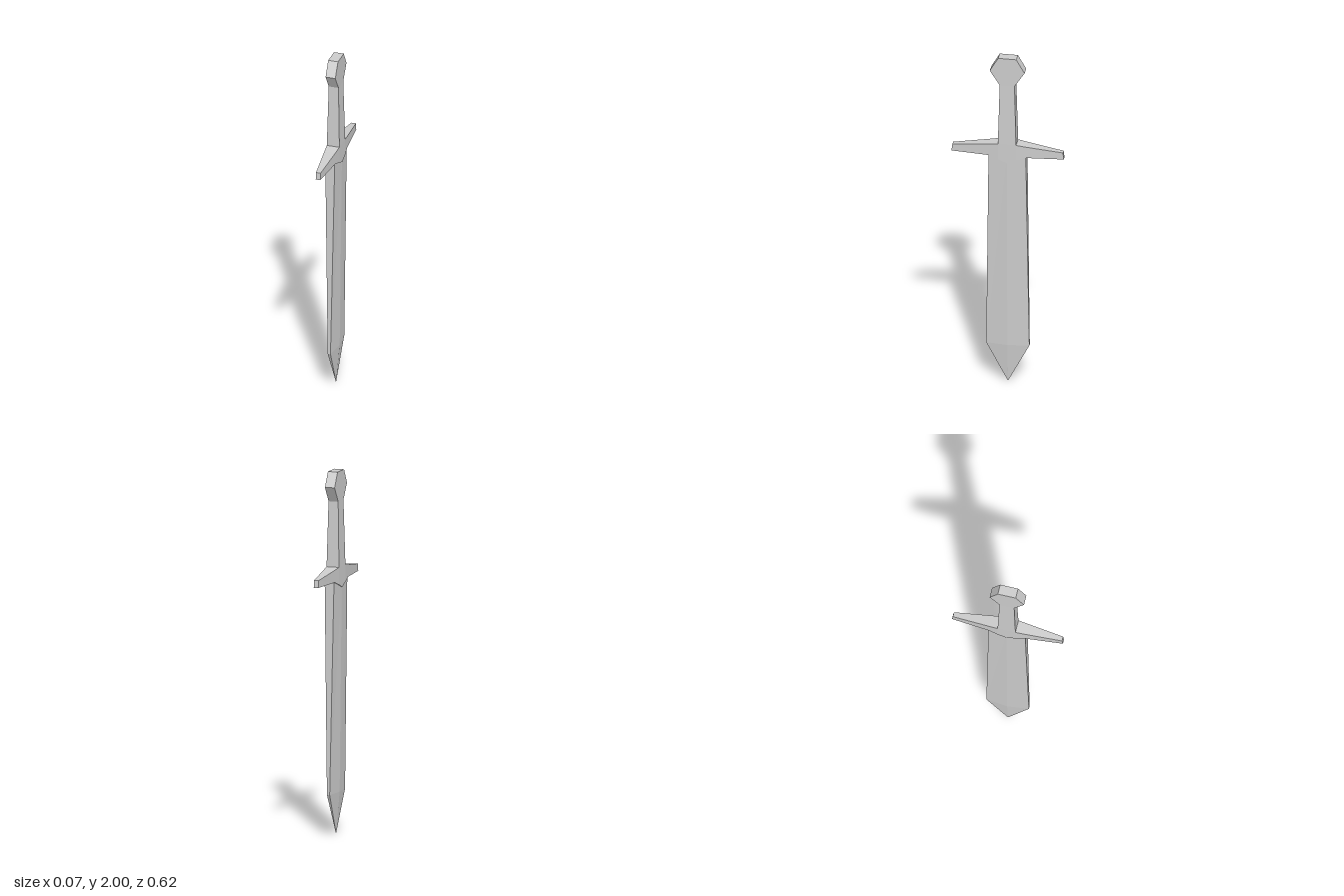
import * as THREE from 'three';

const material = new THREE.MeshStandardMaterial({ color: 0xcccccc, flatShading: true });

// Skin a stack of equal-length rings, closing both ends with fans.
function loft(name, rings) {
  const pos = [];
  const tri = (...pts) => pts.forEach((p) => pos.push(...p));
  const n = rings[0].length;
  for (let k = 0; k < rings.length - 1; k++) {
    for (let i = 0; i < n; i++) {
      const j = (i + 1) % n;
      const [a, b, c, d] = [rings[k][i], rings[k][j], rings[k + 1][j], rings[k + 1][i]];
      tri(a, b, c);
      tri(a, c, d);
    }
  }
  const first = rings[0], last = rings[rings.length - 1];
  for (let i = 1; i < n - 1; i++) {
    tri(first[0], first[i + 1], first[i]);
    tri(last[0], last[i], last[i + 1]);
  }
  const geometry = new THREE.BufferGeometry();
  geometry.setAttribute('position', new THREE.Float32BufferAttribute(pos, 3));
  geometry.computeVertexNormals();
  const mesh = new THREE.Mesh(geometry, material);
  mesh.name = name;
  return mesh;
}

// Horizontal rectangle at height y
const rect = ([y, x, z]) => [[x, y, z], [x, y, -z], [-x, y, -z], [-x, y, z]];

// Horizontal six-sided blade section: central ridge and narrow flat edges
const bladeRing = ([y, ridge, edge, z]) => [
  [edge, y, z], [ridge, y, 0], [edge, y, -z],
  [-edge, y, -z], [-ridge, y, 0], [-edge, y, z],
];

// Upright guard section across z; the end face leans slightly
const guardRing = ([z, x, bottom, top, lean = 0]) => [
  [x, top, z - lean], [-x, top, z - lean], [-x, bottom, z], [x, bottom, z],
];

export function createModel() {
  const group = new THREE.Group();
  group.name = 'sword';

  // Blade: tip, shoulder of the point, root
  group.add(loft('blade', [
    [0, 0.0005, 0.0003, 0.0005],
    [0.23, 0.021, 0.008, 0.119],
    [1.4, 0.034, 0.027, 0.103],
  ].map(bladeRing)));

  // Crossguard, mirrored about its middle
  const half = [
    [0.31, 0.013, 1.4, 1.44, 0.005],
    [0.103, 0.0315, 1.4, 1.467],
    [0.05, 0.036, 1.38, 1.475],
  ];
  const mirrored = half.map(([z, x, b, t, lean = 0]) => [-z, x, b, t, -lean]);
  group.add(loft('crossguard',
    [...mirrored, [0, 0.036, 1.36, 1.475], ...half.reverse()].map(guardRing)));

  // Grip tapering up to the pommel
  group.add(loft('grip', [[1.475, 0.036, 0.05], [1.835, 0.028, 0.041]].map(rect)));

  // Faceted pommel
  group.add(loft('pommel', [
    [1.835, 0.028, 0.041], [1.92, 0.028, 0.096], [2, 0.028, 0.05],
  ].map(rect)));

  return group;
}
